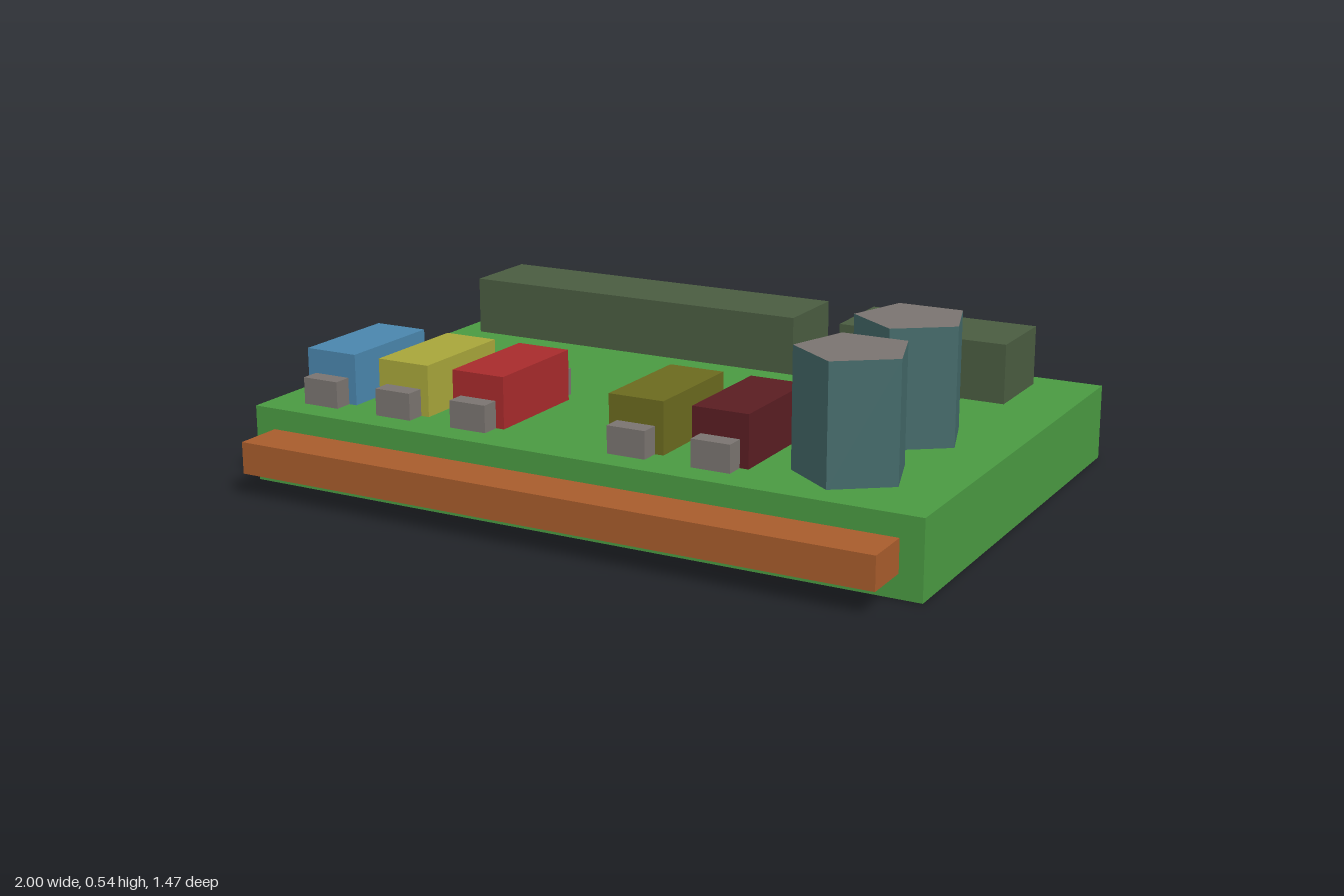
import * as THREE from 'three';

const mat = (name, color) => {
  const m = new THREE.MeshStandardMaterial({ color });
  m.name = name;
  return m;
};

export function createModel() {
  const model = new THREE.Group();
  model.name = 'yard';

  const green = mat('grass green', 0x4a9a42);
  const brown = mat('wood brown', 0xa85c2c);
  const hedgeGreen = mat('dark hedge green', 0x4a5c41);
  const teal = mat('tower teal', 0x456b6b);
  const grey = mat('warm grey', 0x7a7470);
  const blue = mat('blue', 0x4a86ad);
  const yellow = mat('yellow', 0xa8a63a);
  const red = mat('red', 0xa82b2c);
  const olive = mat('olive', 0x6b6a1f);
  const maroon = mat('maroon', 0x5a1d22);

  // Box given by its limits on each axis
  const box = (name, material, [x0, x1], [y0, y1], [z0, z1], parent = model) => {
    const mesh = new THREE.Mesh(new THREE.BoxGeometry(x1 - x0, y1 - y0, z1 - z0), material);
    mesh.position.set((x0 + x1) / 2, (y0 + y1) / 2, (z0 + z1) / 2);
    mesh.name = name;
    parent.add(mesh);
  };

  const ground = 0.215;

  // Base slab and the beam along its front
  box('base', green, [-1, 1], [0, ground], [-0.735, 0.595]);
  box('frontBeam', brown, [-0.938, 0.936], [0.065, 0.155], [0.595, 0.735]);

  // Long blocks at the back
  box('longBackBlock', hedgeGreen, [-0.925, 0.168], [ground, 0.386], [-0.66, -0.415]);
  box('shortBackBlock', hedgeGreen, [0.315, 0.82], [ground, 0.386], [-0.66, -0.415]);

  // Row of coloured blocks, each with a grey step at both ends
  [[-0.836, blue], [-0.592, yellow], [-0.348, red], [0.14, olive], [0.385, maroon]].forEach(([x, paint]) => {
    const unit = new THREE.Group();
    unit.name = 'colouredUnit';
    box('body', paint, [x - 0.081, x + 0.081], [ground, 0.36], [0.128, 0.46], unit);
    box('frontStep', grey, [x - 0.056, x + 0.056], [ground, 0.291], [0.46, 0.514], unit);
    box('backStep', grey, [x - 0.056, x + 0.056], [ground, 0.291], [0.074, 0.128], unit);
    model.add(unit);
  });

  // Five-sided towers with grey roofs
  const height = 0.54 - ground;
  for (const z of [-0.01, 0.361]) {
    const geometry = new THREE.CylinderGeometry(0.154, 0.154, height, 5).toNonIndexed();
    geometry.computeVertexNormals();
    const tower = new THREE.Mesh(geometry, [teal, grey, teal]);
    tower.position.set(0.706, ground + height / 2, z);
    tower.name = 'tower';
    model.add(tower);
  }

  return model;
}
